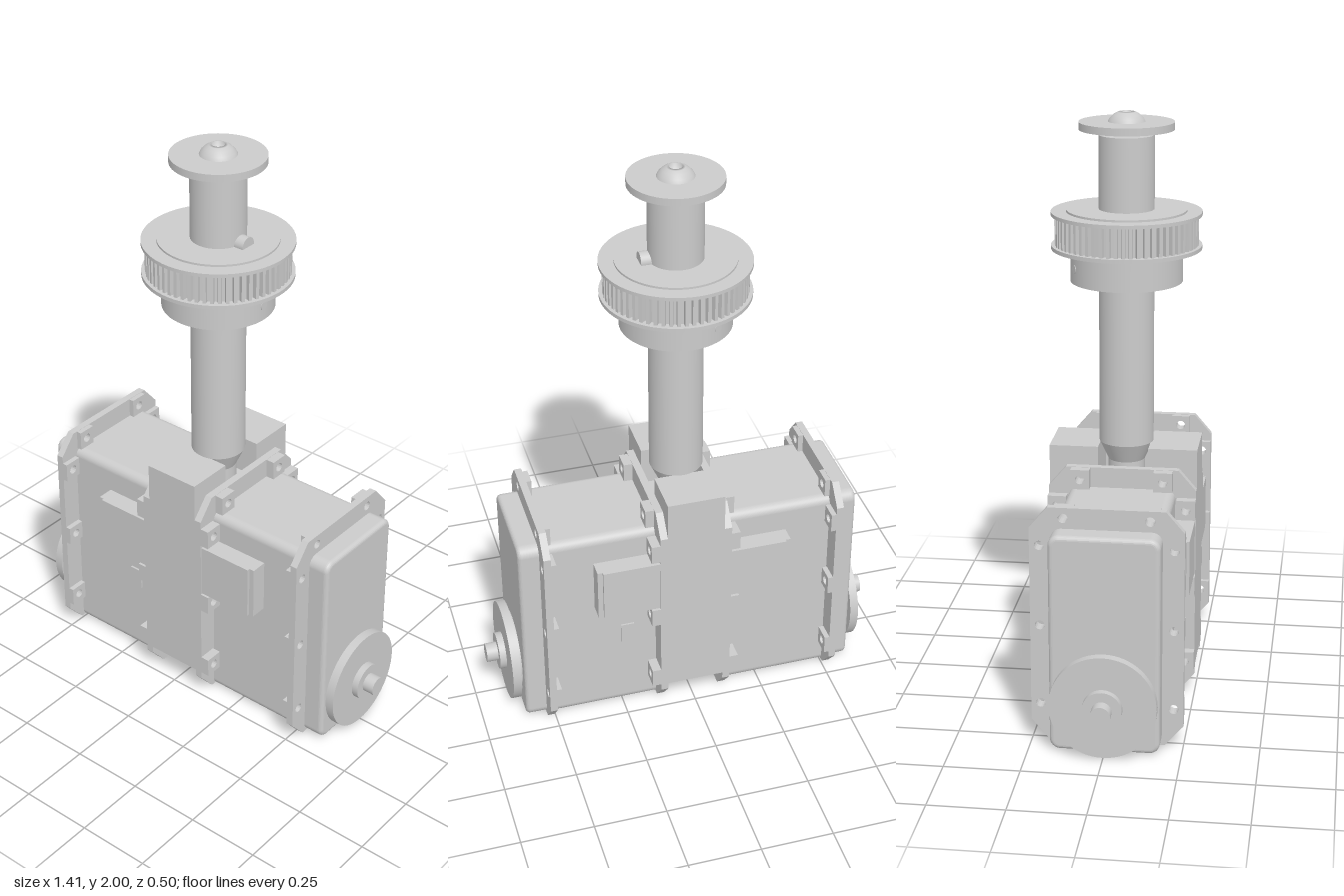
import * as THREE from 'three';

const mat = new THREE.MeshStandardMaterial({ color: 0xcccccc });

function add(parent, name, geo, x = 0, y = 0, z = 0) {
  const m = new THREE.Mesh(geo, mat);
  m.name = name;
  m.position.set(x, y, z);
  parent.add(m);
  return m;
}

// Box given by its limits on each axis
function block(parent, name, x0, x1, y0, y1, z0, z1) {
  return add(parent, name, new THREE.BoxGeometry(x1 - x0, y1 - y0, z1 - z0),
    (x0 + x1) / 2, (y0 + y1) / 2, (z0 + z1) / 2);
}

// Upright cylinder from y0 to y1
function post(parent, name, y0, y1, rBottom, rTop = rBottom) {
  return add(parent, name, new THREE.CylinderGeometry(rTop, rBottom, y1 - y0, 64), 0, (y0 + y1) / 2, 0);
}

// Cylinder lying along x from x0 to x1
function axial(parent, name, x0, x1, r, y, seg = 48) {
  const m = add(parent, name, new THREE.CylinderGeometry(r, r, x1 - x0, seg), (x0 + x1) / 2, y, 0);
  m.rotation.z = -Math.PI / 2;
  return m;
}

// Extrude a (z, y) outline along x from x0 to x1
function extrudeX(parent, name, shape, x0, x1, bevel = 0) {
  const geo = new THREE.ExtrudeGeometry(shape, {
    depth: x1 - x0 - 2 * bevel, curveSegments: 8, bevelEnabled: bevel > 0,
    bevelSize: bevel, bevelThickness: bevel, bevelOffset: -bevel, bevelSegments: 5,
  });
  geo.translate(0, 0, bevel);
  geo.rotateY(Math.PI / 2);
  return add(parent, name, geo, x0, 0, 0);
}

function roundedRect(w, y0, y1, r) {
  const s = new THREE.Shape();
  s.moveTo(-w + r, y0);
  s.lineTo(w - r, y0);
  s.absarc(w - r, y0 + r, r, -Math.PI / 2, 0);
  s.absarc(w - r, y1 - r, r, 0, Math.PI / 2);
  s.absarc(-w + r, y1 - r, r, Math.PI / 2, Math.PI);
  s.absarc(-w + r, y0 + r, r, Math.PI, Math.PI * 1.5);
  return s;
}

function hole(shape, x, y, r = 0.016) {
  const p = new THREE.Path();
  p.absarc(x, y, r, 0, Math.PI * 2, true);
  shape.holes.push(p);
}

// Screw positions around a flange as (z, y)
const screws = [];
for (const s of [-1, 1]) {
  for (const y of [0.14, 0.415, 0.69]) screws.push([s * 0.218, y]);
  screws.push([s * 0.14, 0.785]);
}

function flange(parent, x0, x1, bossX0, bossX1) {
  const s = new THREE.Shape([[-0.19, 0.01], [0.19, 0.01], [0.25, 0.08], [0.25, 0.75], [0.19, 0.82],
    [-0.19, 0.82], [-0.25, 0.75], [-0.25, 0.08]].map(p => new THREE.Vector2(...p)));
  screws.forEach(([z, y]) => hole(s, z, y));
  extrudeX(parent, 'flangePlate', s, x0, x1);
  // Screw bosses behind each hole
  for (const [z, y] of screws) {
    const b = new THREE.Shape([[-1, -1], [1, -1], [1, 1], [-1, 1]]
      .map(([a, c]) => new THREE.Vector2(z + a * 0.032, y + c * 0.034)));
    hole(b, z, y);
    extrudeX(parent, 'screwBoss', b, bossX0, bossX1);
  }
}

// One gearbox, built on the +x side
function gearbox() {
  const g = new THREE.Group();
  g.name = 'gearbox';
  extrudeX(g, 'housing', roundedRect(0.18, 0.005, 0.75, 0.06), 0.03, 0.52, 0.05);
  extrudeX(g, 'housingShell', roundedRect(0.18, 0.005, 0.75, 0.03), 0.12, 0.51);
  extrudeX(g, 'endCover', roundedRect(0.18, 0.01, 0.75, 0.035), 0.5, 0.6, 0.015);
  flange(g, 0.503, 0.528, 0.485, 0.504);
  flange(g, 0.1, 0.126, 0.125, 0.157);

  // Side pods and small raised pad
  for (const s of [-1, 1]) {
    const pod = (x1, z) => block(g, 'sidePod', 0.12, x1, 0.455, 0.645, Math.min(s * 0.17, s * z), Math.max(s * 0.17, s * z));
    pod(0.325, 0.247);
    pod(0.343, 0.237);
  }
  block(g, 'pad', 0.205, 0.252, 0.28, 0.355, -0.186, -0.17);

  // Output wheel
  axial(g, 'wheelBoss', 0.595, 0.612, 0.14, 0.185);
  axial(g, 'wheelDisc', 0.61, 0.64, 0.175, 0.185, 64);
  axial(g, 'wheelHub', 0.635, 0.663, 0.065, 0.185);
  axial(g, 'wheelAxle', 0.66, 0.703, 0.033, 0.185);
  return g;
}

// Toothed belt ring
function toothedRing(teeth, rOuter, rInner, height) {
  const s = new THREE.Shape();
  for (let i = 0; i < teeth; i++) {
    [[0, rInner], [0.4, rInner], [0.48, rOuter], [0.92, rOuter]].forEach(([t, r], k) => {
      const a = (i + t) / teeth * Math.PI * 2;
      const x = r * Math.cos(a), y = r * Math.sin(a);
      i + k === 0 ? s.moveTo(x, y) : s.lineTo(x, y);
    });
  }
  return new THREE.ExtrudeGeometry(s, { depth: height, bevelEnabled: false }).rotateX(-Math.PI / 2);
}

export function createModel() {
  const model = new THREE.Group();
  model.name = 'steeringDrive';

  // Twin gearboxes, each a half turn from the other
  const left = gearbox();
  const right = gearbox();
  right.rotation.y = Math.PI;
  model.add(left, right);

  // Centre bracket with a fork on top
  block(model, 'centreBracket', -0.1, 0.1, 0.105, 0.75, -0.25, 0.25);
  block(model, 'frontFork', -0.1, 0.1, 0.74, 0.885, 0.085, 0.25);
  block(model, 'backFork', -0.1, 0.1, 0.74, 0.885, -0.25, -0.085);

  // Shaft
  post(model, 'shaftFoot', 0.74, 0.825, 0.062);
  post(model, 'shaftTaper', 0.82, 0.885, 0.062, 0.092);
  post(model, 'shaft', 0.885, 1.925, 0.092);
  post(model, 'shaftNeck', 1.92, 1.945, 0.032);

  // Pulley
  const pulley = new THREE.Group();
  pulley.name = 'pulley';
  model.add(pulley);
  post(pulley, 'collar', 1.44, 1.545, 0.187);
  post(pulley, 'lowerStep', 1.54, 1.555, 0.2);
  post(pulley, 'lowerRim', 1.55, 1.563, 0.25);
  add(pulley, 'beltTeeth', toothedRing(60, 0.238, 0.222, 0.105), 0, 1.56, 0);
  post(pulley, 'upperRim', 1.662, 1.674, 0.25);
  post(pulley, 'upperStep', 1.67, 1.681, 0.2);

  // Set screws in the collar and pins in the shaft
  for (const angle of [0, Math.PI * 2 / 3]) {
    const holder = new THREE.Group();
    holder.name = 'setScrew';
    holder.rotation.y = angle;
    axial(holder, 'setScrewEnd', 0.17, 0.1885, 0.015, 1.492, 20);
    pulley.add(holder);
  }
  for (const y of [1.685, 1.435]) axial(model, 'shaftPin', 0.05, 0.122, 0.029, y, 24);

  // Cap washer and socket button screw
  post(model, 'capWasher', 1.942, 1.967, 0.157);
  const profile = [[0.062, 1.966], [0.056, 1.978], [0.044, 1.99], [0.03, 1.998], [0.022, 2.0],
    [0.022, 1.98], [0, 1.98]].map(p => new THREE.Vector2(...p));
  add(model, 'buttonScrew', new THREE.LatheGeometry(profile, 36));

  return model;
}
